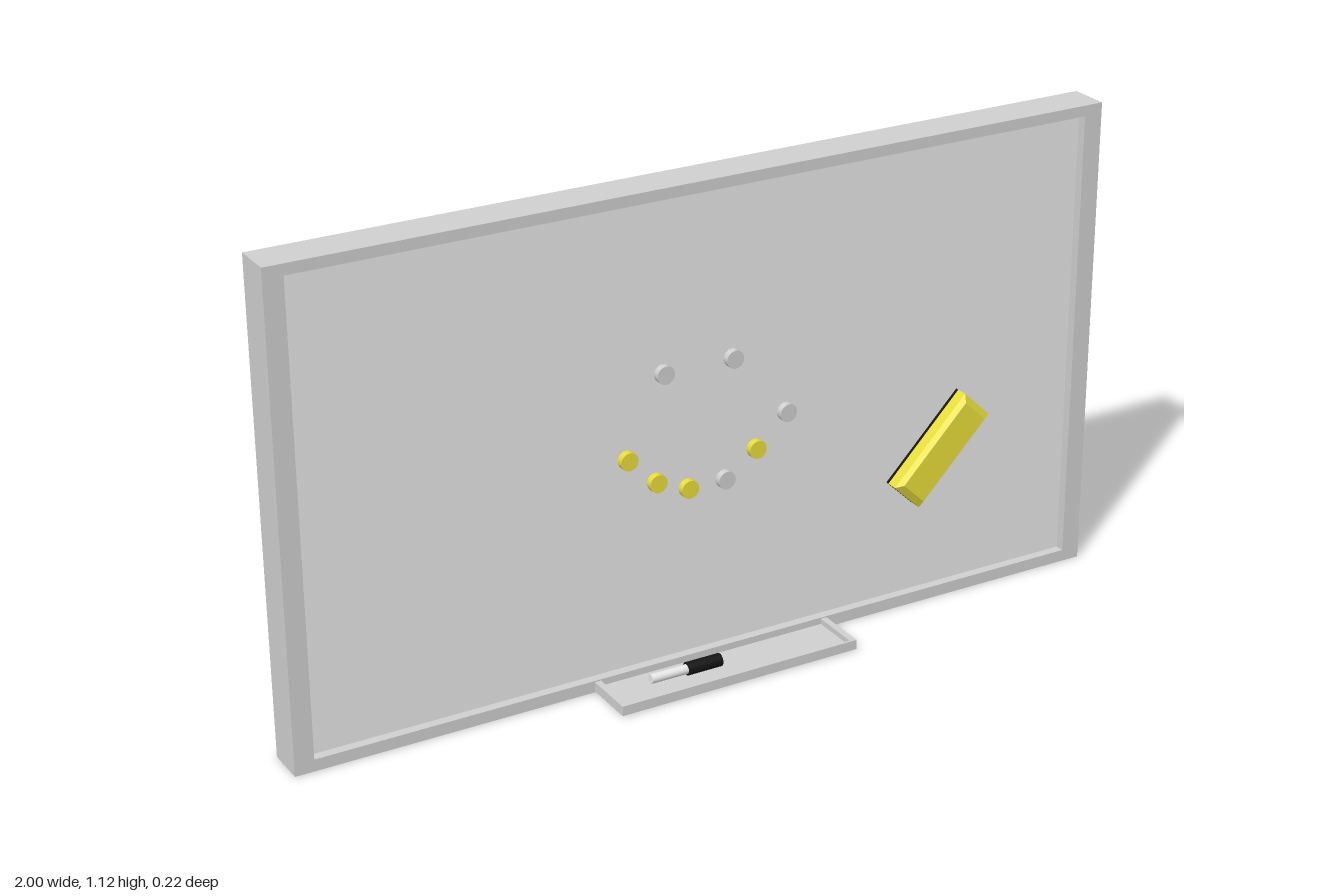
import * as THREE from 'three';

const mat = (name, color) => Object.assign(new THREE.MeshStandardMaterial({ color }), { name });

export function createModel() {
  const group = new THREE.Group();
  const white = mat('white', 0xfcfcfc);
  const grey = mat('grey', 0xd0d0d0);
  const yellow = mat('yellow', 0xf9ef40);
  const black = mat('black', 0x141414);

  const add = (name, geometry, material, x = 0, y = 0, z = 0, parent = group) => {
    const mesh = new THREE.Mesh(geometry, material);
    mesh.name = name;
    mesh.position.set(x, y, z);
    parent.add(mesh);
    return mesh;
  };
  // Box given by its lower and upper corners
  const box = (name, material, [x0, y0, z0], [x1, y1, z1], parent) =>
    add(name, new THREE.BoxGeometry(x1 - x0, y1 - y0, z1 - z0), material,
      (x0 + x1) / 2, (y0 + y1) / 2, (z0 + z1) / 2, parent);
  const rect = (target, x0, y0, x1, y1) => {
    target.moveTo(x0, y0).lineTo(x1, y0).lineTo(x1, y1).lineTo(x0, y1).closePath();
    return target;
  };

  const back = -0.11, front = -0.015, panelZ = -0.037;

  // Frame with a rectangular opening, closed at the back
  const outline = rect(new THREE.Shape(), -1, 0, 1, 1.125);
  outline.holes.push(rect(new THREE.Path(), -0.955, 0.028, 0.955, 1.1));
  add('frame', new THREE.ExtrudeGeometry(outline, { depth: front - back, bevelEnabled: false }), grey, 0, 0, back);
  box('backPanel', grey, [-0.955, 0.028, back], [0.955, 1.1, back + 0.02]);
  box('writingPanel', white, [-0.955, 0.028, panelZ - 0.02], [0.955, 1.1, panelZ]);

  // Pen tray: floor and raised rim
  const tray = new THREE.Group();
  tray.name = 'tray';
  group.add(tray);
  box('trayFloor', grey, [-0.297, 0.002, front], [0.297, 0.012, 0.11], tray);
  box('trayFrontRim', grey, [-0.297, 0.012, 0.104], [0.297, 0.025, 0.11], tray);
  for (const s of [-1, 1]) {
    const [a, b] = [s * 0.297, s * 0.282];
    box('traySideRim', grey, [Math.min(a, b), 0.012, front], [Math.max(a, b), 0.025, 0.104], tray);
  }

  // Marker pen lying in the tray
  const pen = new THREE.Group();
  pen.name = 'marker';
  pen.position.set(0, 0.027, 0.037);
  group.add(pen);
  const barrel = (name, r, x0, x1, material) => {
    add(name, new THREE.CylinderGeometry(r, r, x1 - x0, 20), material, (x0 + x1) / 2, 0, 0, pen).rotation.z = Math.PI / 2;
  };
  barrel('markerBarrel', 0.011, -0.188, -0.098, white);
  barrel('markerCap', 0.015, -0.098, -0.013, black);

  // Round magnets in a smile
  const disc = new THREE.CylinderGeometry(0.021, 0.021, 0.016, 24).rotateX(Math.PI / 2);
  const magnets = [
    [grey, [[-0.11, 0.705], [0.06, 0.705], [0.195, 0.55], [0.04, 0.425]]],
    [yellow, [[-0.2, 0.525], [-0.13, 0.457], [-0.052, 0.425], [0.118, 0.48]]],
  ];
  for (const [material, spots] of magnets)
    for (const [x, y] of spots) add('magnet', disc, material, x, y, panelZ + 0.008);

  // Eraser: felt pad, body and a bevelled top
  const eraser = new THREE.Group();
  eraser.name = 'eraser';
  eraser.position.set(0.59, 0.376, panelZ);
  eraser.rotation.z = 0.805;
  group.add(eraser);
  const [hl, hw] = [0.132, 0.046];
  box('eraserFelt', black, [-hl, -hw, 0], [hl, hw, 0.008], eraser);
  box('eraserBody', yellow, [-hl, -hw, 0.008], [hl, hw, 0.035], eraser);
  const top = new THREE.BoxGeometry(2 * hl, 2 * hw, 0.011);
  const p = top.attributes.position;
  for (let i = 0; i < p.count; i++)
    if (p.getZ(i) > 0) p.setXY(i, Math.sign(p.getX(i)) * (hl - 0.016), Math.sign(p.getY(i)) * (hw - 0.009));
  top.computeVertexNormals();
  add('eraserTop', top, yellow, 0, 0, 0.0405, eraser);

  return group;
}
